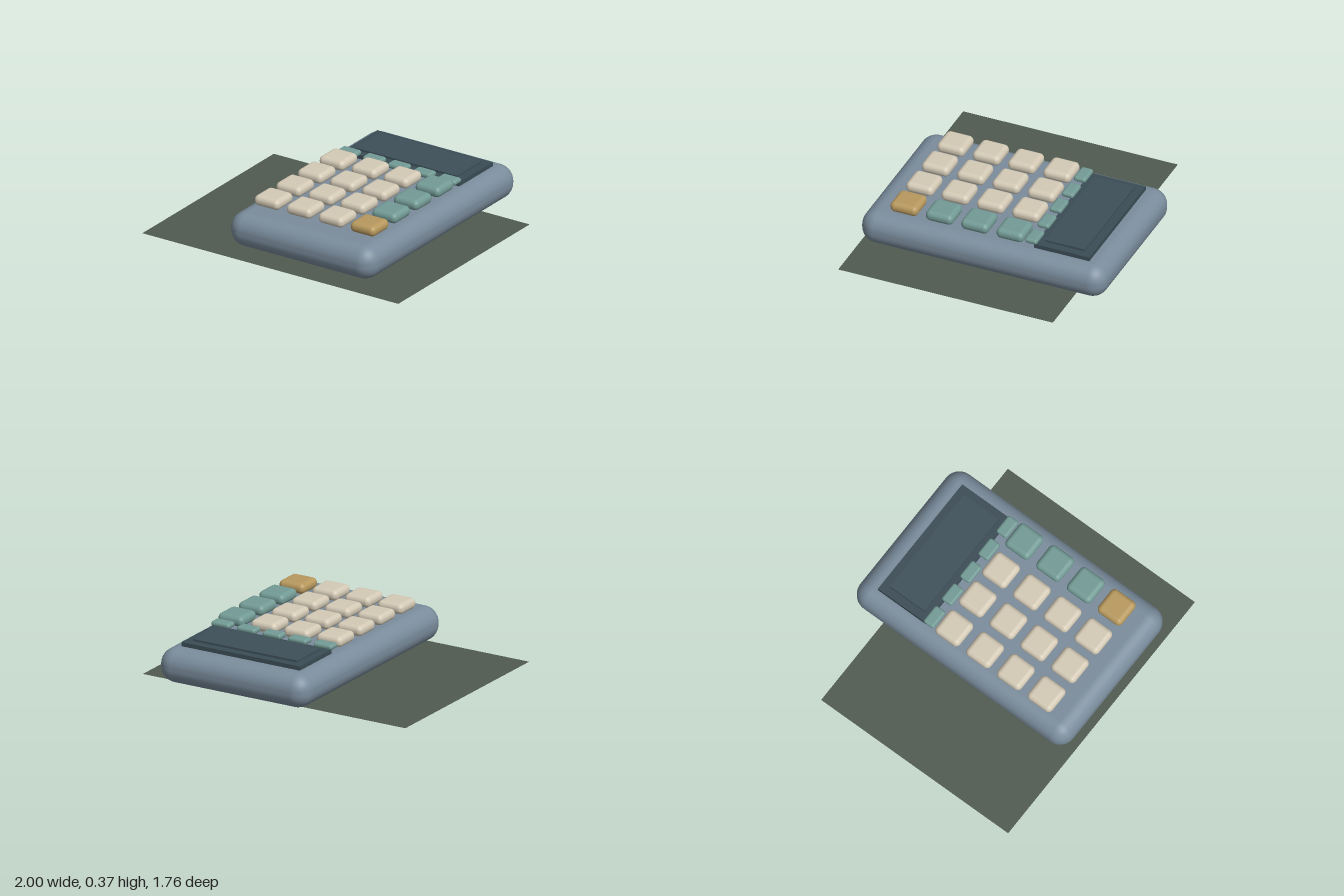
import * as THREE from 'three';
import { RoundedBoxGeometry } from 'three/addons/geometries/RoundedBoxGeometry.js';

const material = (name, color, side = THREE.FrontSide) => {
  const m = new THREE.MeshStandardMaterial({ color, side });
  m.name = name;
  return m;
};

export function createModel() {
  const group = new THREE.Group();
  group.name = 'calculator';

  const casing = material('slate blue casing', 0x7a8c9c);
  const frame = material('dark teal frame', 0x3b4c55);
  const glass = material('dark display', 0x3e5059);
  const cream = material('cream key', 0xd3c9b5);
  const teal = material('teal key', 0x739b95);
  const gold = material('gold key', 0xb8995e);
  const mat = material('olive mat', 0x505a50, THREE.DoubleSide);

  const add = (name, geometry, mtl, x, y, z) => {
    const mesh = new THREE.Mesh(geometry, mtl);
    mesh.name = name;
    mesh.position.set(x, y, z);
    group.add(mesh);
    return mesh;
  };

  // Flat mat lying on the floor
  add('mat', new THREE.PlaneGeometry(2, 1.52).rotateX(-Math.PI / 2), mat, 0, 0, 0.115);

  // Rounded casing, hovering slightly above the mat
  const cx = 0.193;
  add('casing', new RoundedBoxGeometry(1.136, 0.235, 1.734, 6, 0.11), casing, cx, 0.17, -0.018);

  // Display frame and raised display
  add('displayFrame', new THREE.BoxGeometry(0.903, 0.03, 0.39), frame, cx, 0.301, -0.551);
  add('display', new THREE.BoxGeometry(0.794, 0.016, 0.28), glass, cx, 0.322, -0.55);

  // Row of small function keys
  const smallKey = new RoundedBoxGeometry(0.14, 0.037, 0.084, 4, 0.017);
  for (let i = 0; i < 5; i++) {
    add('functionKey', smallKey, teal, cx + (i - 2) * 0.195, 0.329, -0.333);
  }

  // Main keypad, four by four
  const key = new RoundedBoxGeometry(0.194, 0.073, 0.194, 4, 0.034);
  for (let row = 0; row < 4; row++) {
    for (let col = 0; col < 4; col++) {
      const operator = col === 3;
      const last = operator && row === 3;
      add(
        last ? 'equalsKey' : operator ? 'operatorKey' : 'numberKey',
        key,
        last ? gold : operator ? teal : cream,
        cx + (col - 1.5) * 0.25, 0.335, -0.183 + row * 0.25
      );
    }
  }

  return group;
}
